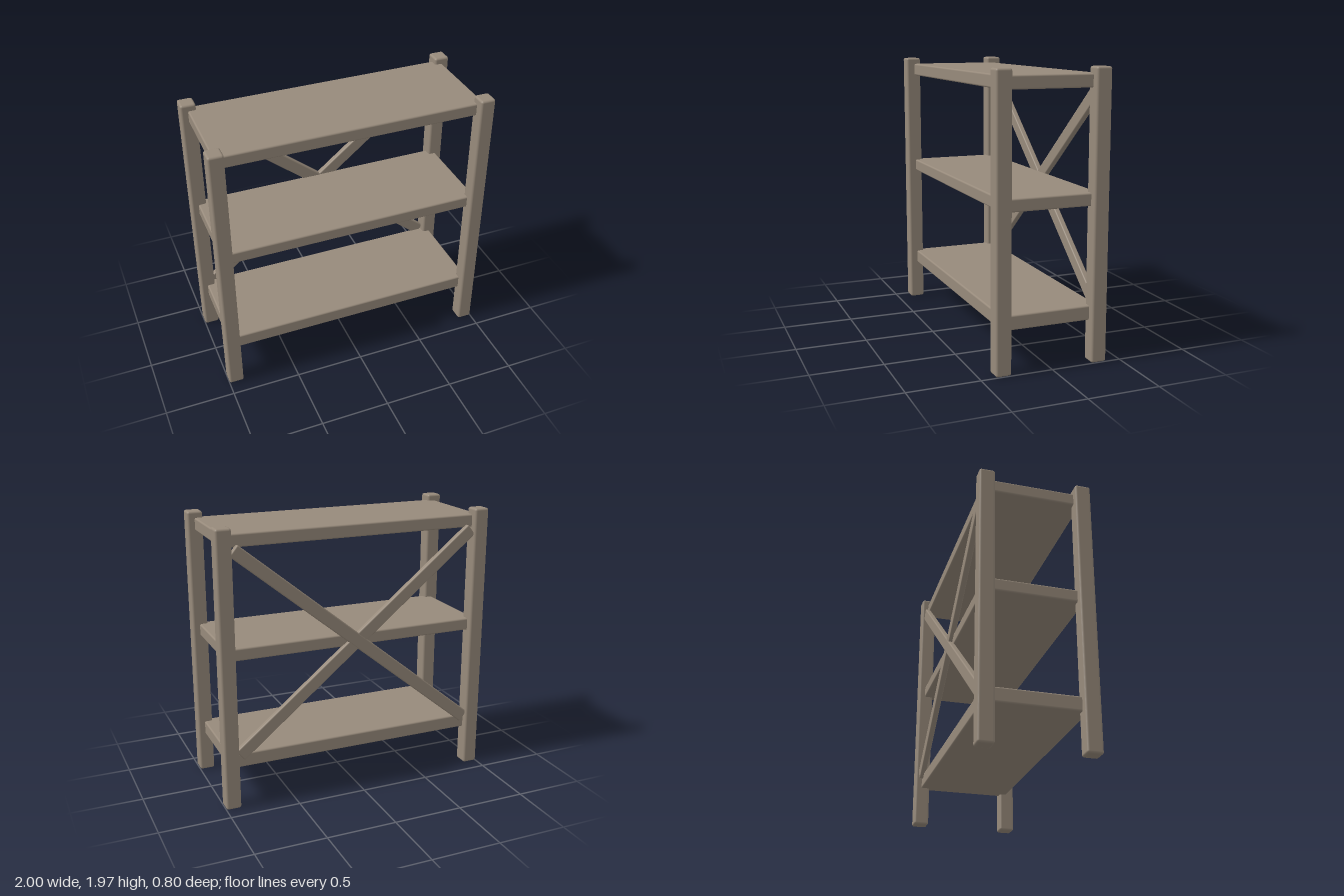
import * as THREE from 'three';
import { RoundedBoxGeometry } from 'three/addons/geometries/RoundedBoxGeometry.js';

export function createModel() {
  const group = new THREE.Group();
  const wood = new THREE.MeshStandardMaterial({ color: 0x978a7b });
  wood.name = 'weathered wood';

  // Softly rounded timber, centred on the given position
  function timber(name, size, position, radius) {
    const mesh = new THREE.Mesh(new RoundedBoxGeometry(...size, 3, radius), wood);
    mesh.name = name;
    mesh.position.set(...position);
    group.add(mesh);
    return mesh;
  }

  // Four corner posts
  const height = 1.965;
  for (const [side, sx] of [['left', 1], ['right', -1]]) {
    for (const [end, sz] of [['Front', 1], ['Back', -1]]) {
      timber(side + end + 'Post', [0.108, height, 0.11], [sx * 0.946, height / 2, sz * 0.343], 0.016);
    }
  }

  // Three thick shelves
  const shelves = [['bottomShelf', 0.287, 0.388], ['middleShelf', 1.062, 1.15], ['topShelf', 1.83, 1.92]];
  for (const [name, low, high] of shelves) {
    timber(name, [1.9, high - low, 0.69], [0, (low + high) / 2, -0.007], 0.012);
  }

  // Crossed braces on the back
  const angle = Math.atan(0.815);
  for (const [name, s] of [['risingBrace', 1], ['fallingBrace', -1]]) {
    const brace = timber(name, [2.27, 0.092, 0.042], [0, 1.1, -0.359 - s * 0.001], 0.01);
    brace.rotation.z = s * angle;
  }

  return group;
}
